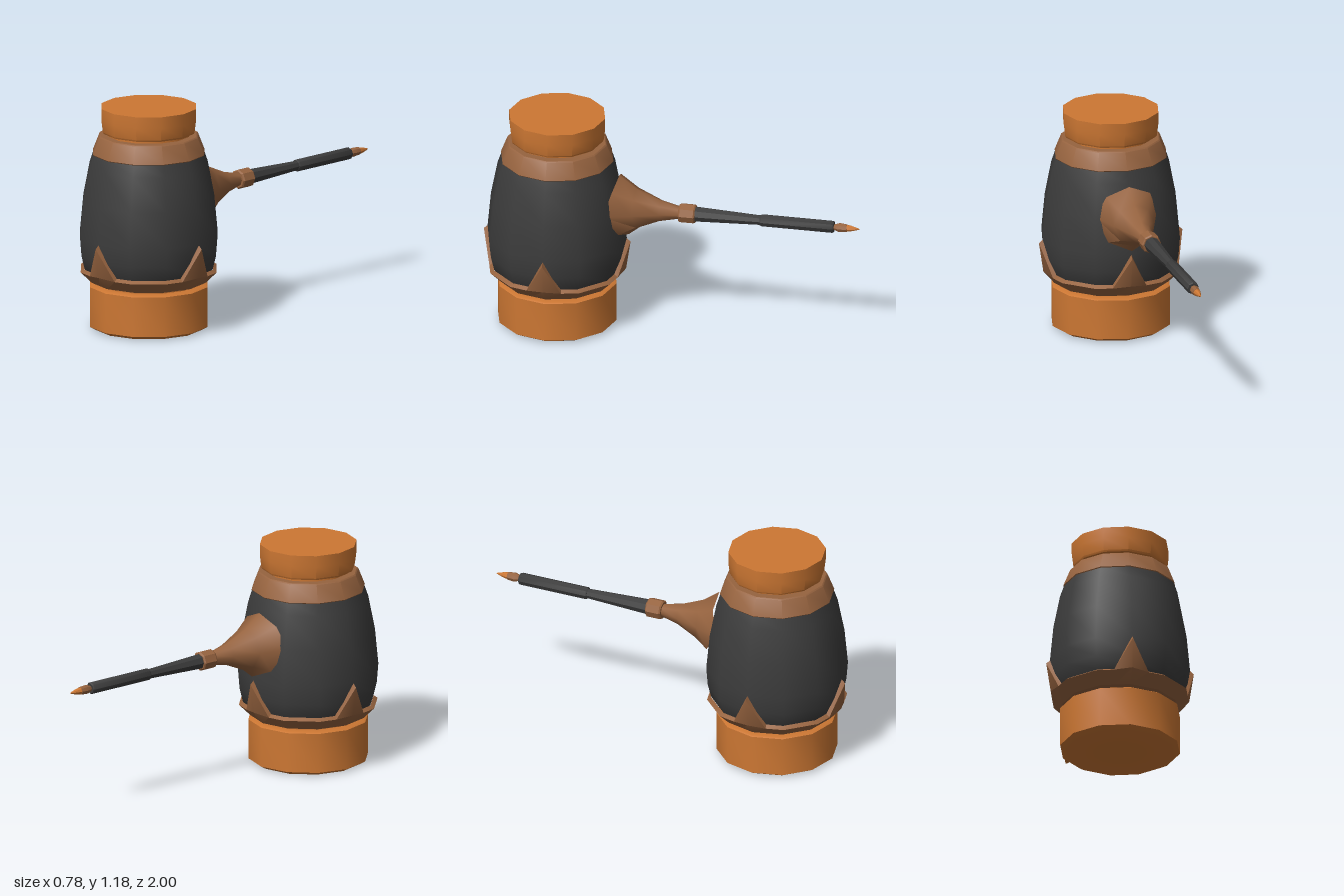
import * as THREE from 'three';
import { toCreasedNormals } from 'three/addons/utils/BufferGeometryUtils.js';

const BODY_Z = 0.61, AXIS_Y = 0.675;

export function createModel() {
  const root = new THREE.Group();
  const material = (name, color) => {
    const m = new THREE.MeshStandardMaterial({ color });
    m.name = name;
    return m;
  };
  const copper = material('copper', 0xcc7733);
  const bronze = material('bronze', 0x96633f);
  const charcoal = material('charcoal', 0x3c3c3c);

  function add(name, geometry, mat, crease = 0.6) {
    const mesh = new THREE.Mesh(toCreasedNormals(geometry, crease), mat);
    mesh.name = name;
    root.add(mesh);
    return mesh;
  }
  const lathe = (points, sides) =>
    new THREE.LatheGeometry(points.map(([r, y]) => new THREE.Vector2(r, y)), sides);

  // Twelve-sided part turned around the upright axis, profile from bottom to top
  const upright = (name, mat, points) =>
    add(name, lathe(points, 12).translate(0, 0, BODY_Z), mat);

  // Part turned around the rod axis, profile as [radius, z] running towards the back
  const alongRod = (name, mat, points) =>
    add(name, lathe(points.map(([r, z]) => [r, -z]), 8)
      .rotateX(-Math.PI / 2).translate(0, AXIS_Y, 0), mat);

  // Closed skin over rings; at(ring, column) returns [x, y, z]
  function skin(rings, columns, at) {
    const positions = [], index = [];
    for (let i = 0; i < rings; i++)
      for (let j = 0; j < columns; j++) positions.push(...at(i, j));
    for (let i = 0; i < rings - 1; i++)
      for (let j = 0; j < columns; j++) {
        const k = (j + 1) % columns;
        const a = i * columns + j, b = i * columns + k;
        index.push(a, b, b + columns, a, b + columns, a + columns);
      }
    const g = new THREE.BufferGeometry();
    g.setAttribute('position', new THREE.Float32BufferAttribute(positions, 3));
    g.setIndex(index);
    return g;
  }

  // Base, body and lid
  upright('base', copper, [[0, 0], [0.285, 0], [0.316, 0.018], [0.316, 0.23],
    [0.306, 0.236], [0.26, 0.236], [0.26, 0.256]]);
  upright('body', charcoal, [[0.3, 0.26], [0.345, 0.33], [0.362, 0.4], [0.37, 0.5],
    [0.352, 0.69], [0.317, 0.87], [0.293, 0.94]]);
  upright('collar', bronze, [[0.28, 0.928], [0.293, 0.928], [0.299, 0.936],
    [0.264, 1.025], [0.257, 1.03], [0.21, 1.03]]);
  upright('lidNeck', copper, [[0.217, 1.025], [0.217, 1.05]]);
  upright('lid', copper, [[0.2, 1.046], [0.242, 1.046], [0.247, 1.055],
    [0.255, 1.12], [0.255, 1.18], [0, 1.18]]);

  // Lower band with four points; odd columns lie halfway along the flat sides
  const plain = [[0.25, 0.253], [0.306, 0.253], [0.366, 0.312], [0.366, 0.312], [0.345, 0.326]];
  const point = [[0.25, 0.253], [0.306, 0.253], [0.366, 0.322], [0.39, 0.48], [0.366, 0.502]];
  add('pointedBand', skin(5, 24, (i, j) => {
    const [r, y] = (j % 6 === 0 ? point : plain)[i];
    const a = j * Math.PI / 12;
    const s = j % 2 ? r * Math.cos(Math.PI / 12) : r;
    return [s * Math.sin(a), y, BODY_Z + s * Math.cos(a)];
  }), bronze);

  // Flared socket: its wide rim wraps around the body
  const flare = [
    { r: 0.168, y: 0.69, z: 0.335, top: 0.055, bottom: 0.105 },
    { r: 0.11, y: 0.68, z: 0.195, top: 0.005, bottom: 0.025 },
    { r: 0.058, y: 0.676, z: 0.06, top: 0, bottom: 0 },
    { r: 0.032, y: AXIS_Y, z: -0.05, top: 0, bottom: 0 },
  ];
  add('socket', skin(4, 8, (i, j) => {
    const f = flare[i], a = j * Math.PI / 4, c = Math.cos(a);
    return [f.r * Math.sin(a), f.y + f.r * c,
      f.z - f.top * Math.max(c, 0) - f.bottom * Math.max(-c, 0)];
  }), bronze, 0.9);

  // Rod and its fittings
  alongRod('ferrule', bronze, [[0, -0.04], [0.046, -0.04], [0.052, -0.048],
    [0.052, -0.12], [0.046, -0.127], [0, -0.127]]);
  alongRod('taperedRod', charcoal, [[0.041, -0.12], [0.026, -0.475]]);
  alongRod('outerRod', charcoal, [[0, -0.47], [0.028, -0.47], [0.033, -0.478],
    [0.033, -0.855], [0.028, -0.862], [0, -0.862]]);
  alongRod('tipHolder', bronze, [[0.014, -0.86], [0.025, -0.89], [0.021, -0.93], [0, -0.932]]);
  alongRod('tip', copper, [[0.019, -0.928], [0.016, -0.95], [0.006, -0.985], [0, -1]]);
  return root;
}
